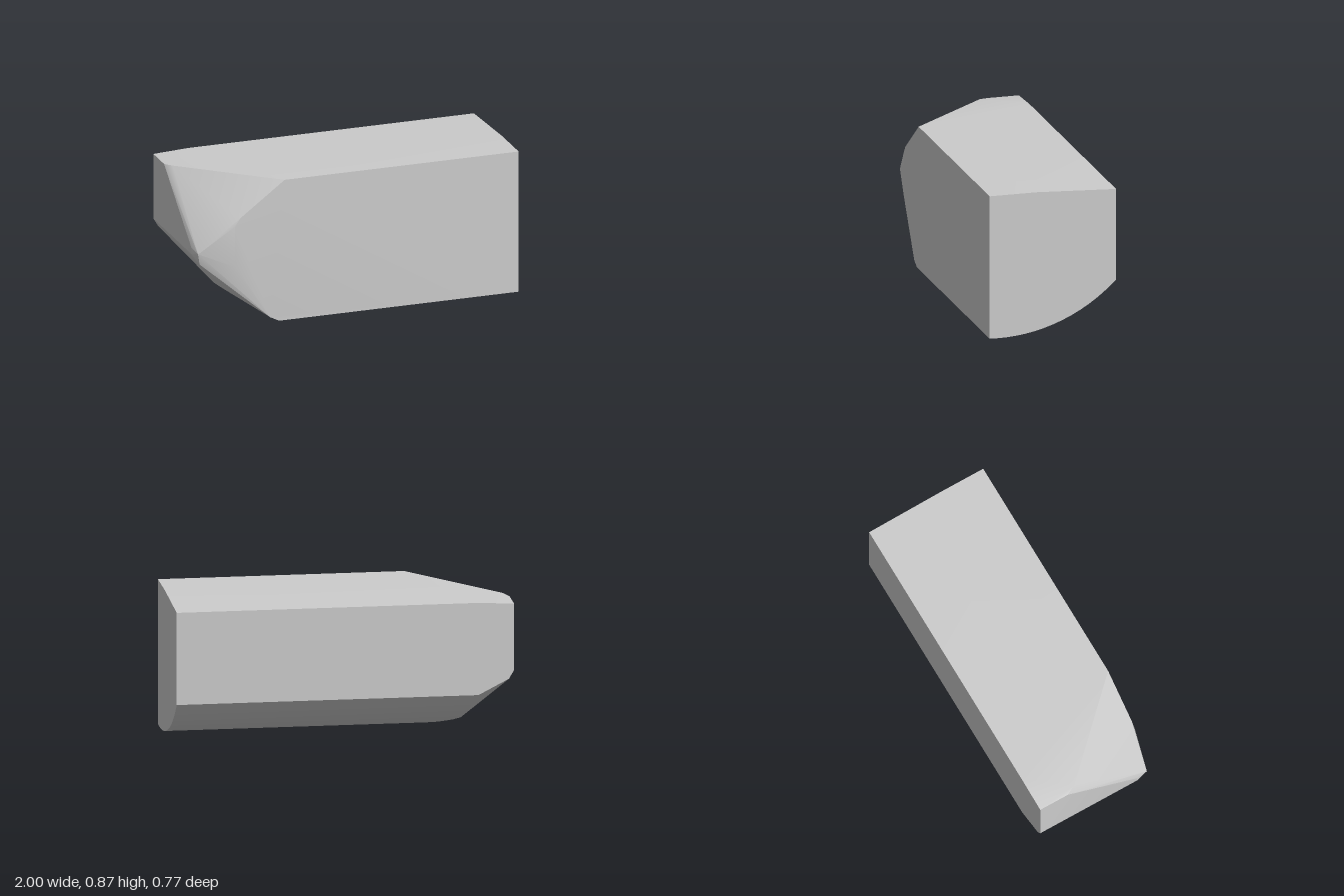
import * as THREE from 'three';
import { ConvexGeometry } from 'three/addons/geometries/ConvexGeometry.js';
import { toCreasedNormals } from 'three/addons/utils/BufferGeometryUtils.js';

const D = 0.387; // half depth
const R = 1.014; // radius of the rounded underside

// height of the rounded underside at depth z
const underside = (z) => R - Math.sqrt(R * R - (z - 0.33) ** 2);

// x at which the underside gives way to the cut left end
const undersideEnd = (y) => (y < 0.09 ? -0.49 - 0.23 * (y / 0.09) : -0.72 - 0.07 * ((y - 0.09) / 0.21));

export function createModel() {
  const points = [];
  const add = (x, y, z) => points.push(new THREE.Vector3(x, y, z));

  // rounded underside, swept along x
  const steps = 14;
  for (let i = 0; i <= steps; i++) {
    const z = D - (2 * D * i) / steps;
    const y = underside(z);
    add(1, y, z);
    add(undersideEnd(y), y, z);
  }

  // top: flat at the front, sloping gently to the back
  add(1, 0.875, D);
  add(1, 0.875, 0.1);
  add(1, 0.853, -D);
  add(-0.46, 0.875, D);
  add(-0.78, 0.853, -D);
  add(-0.97, 0.849, -0.14);

  // front face, left border
  add(-0.735, 0.67, D);
  add(-0.77, 0.62, D);
  add(-0.77, 0.37, D);
  add(-0.55, 0.03, D);

  // blunt tip at the front left
  add(-0.985, 0.46, 0.345);
  add(-0.97, 0.39, 0.33);

  // left end face
  add(-1, 0.842, -D);
  add(-1, 0.842, -0.2);
  add(-1, 0.48, 0.27);
  add(-1, 0.44, 0.27);
  add(-1, 0.44, -D);
  add(-0.97, 0.39, -D);

  const geometry = toCreasedNormals(new ConvexGeometry(points), 0.4);
  const body = new THREE.Mesh(geometry, new THREE.MeshStandardMaterial({ color: 0xcccccc }));
  body.name = 'cutBlock';

  const group = new THREE.Group();
  group.name = 'chamferedBlock';
  group.add(body);
  return group;
}
